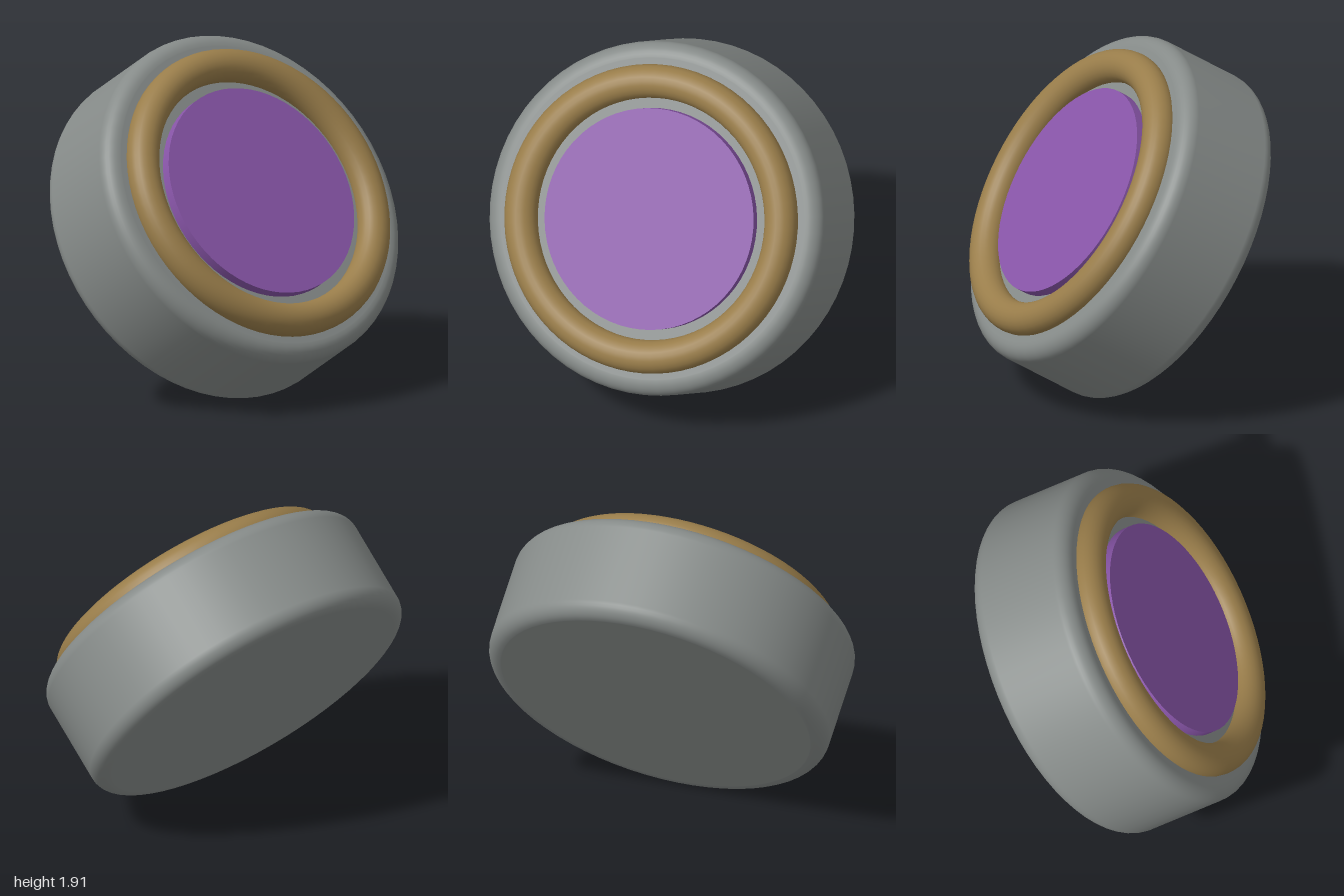
import * as THREE from 'three';

const material = (name, color) => {
  const m = new THREE.MeshStandardMaterial({ color });
  m.name = name;
  return m;
};

export function createModel() {
  const grey = material('grey casing', 0x868b89);
  const bronze = material('bronze ring', 0x997d4a);
  const purple = material('purple cap', 0x8855a8);

  const model = new THREE.Group();
  model.name = 'tiltedButton';
  const tilted = new THREE.Group();
  tilted.name = 'buttonAssembly';
  model.add(tilted);

  const add = (name, geometry, mat, y) => {
    const mesh = new THREE.Mesh(geometry, mat);
    mesh.name = name;
    mesh.position.y = y;
    tilted.add(mesh);
    return mesh;
  };

  // Drum casing with rounded rims, turned from its profile
  const R = 0.976, h = 0.318, b = 0.085, steps = 8;
  const profile = [new THREE.Vector2(0, -h), new THREE.Vector2(R - b - 0.005, -h)];
  for (const side of [-1, 1]) {
    for (let i = 0; i <= steps; i++) {
      const t = (i / steps) * Math.PI / 2;
      const a = side < 0 ? t - Math.PI / 2 : t;
      profile.push(new THREE.Vector2(R - b + b * Math.cos(a), side * (h - b) + b * Math.sin(a)));
    }
  }
  profile.push(new THREE.Vector2(R - b - 0.005, h), new THREE.Vector2(0, h));
  add('casing', new THREE.LatheGeometry(profile, 64), grey, 0);

  // Round ring half sunk into the front face
  const ring = new THREE.TorusGeometry(0.759, 0.0926, 24, 72).rotateX(Math.PI / 2);
  add('ring', ring, bronze, 0.34);

  // Flat cap in the middle of the ring
  add('cap', new THREE.CylinderGeometry(0.61, 0.61, 0.1, 64), purple, 0.325);

  // Lean the axis towards the front, up and to the model's left
  const axis = new THREE.Vector3(0.343, 0.555, 0.757).normalize();
  tilted.quaternion.setFromUnitVectors(new THREE.Vector3(0, 1, 0), axis);
  tilted.position.y = 0.953;
  return model;
}
